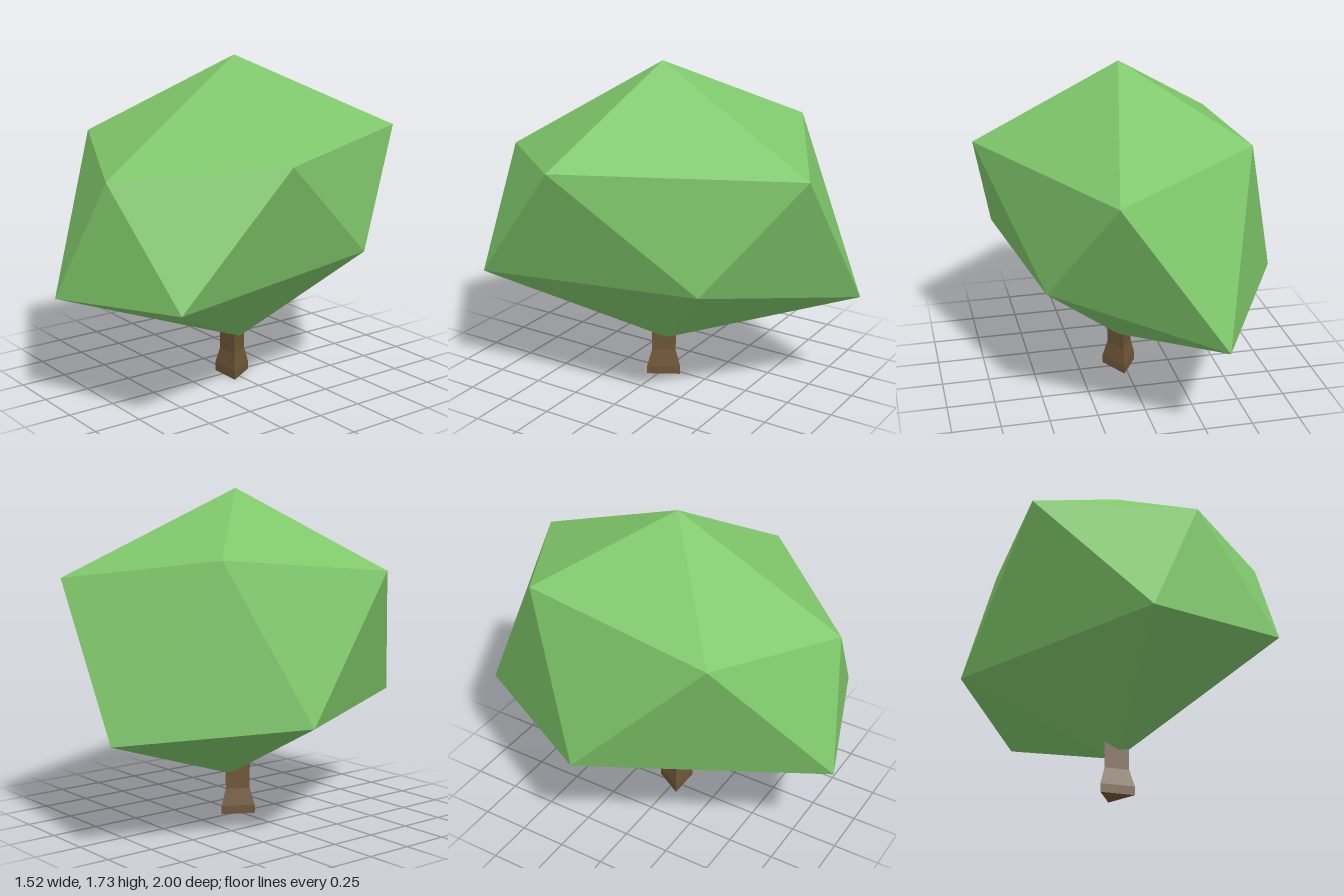
import * as THREE from 'three';

// Irregular twenty-sided crown: top, two staggered rings of five, bottom
function crownGeometry() {
  const top = [0.03, 1.73, 0];
  const bottom = [0.04, 0.21, -0.03];
  // Rings run counterclockwise seen from above; lower[i] sits between upper[i] and upper[i + 1]
  const upper = [
    [0.17, 1.2, 0.86], [0.76, 1.29, 0.2], [0.23, 1.3, -0.94], [-0.52, 1.41, -0.52], [-0.57, 1.31, 0.52],
  ];
  const lower = [
    [0.62, 0.63, 0.74], [0.5, 0.71, -0.5], [-0.29, 0.55, -1], [-0.76, 0.6, -0.15], [-0.11, 0.58, 1],
  ];
  const positions = [];
  const face = (...corners) => corners.forEach((c) => positions.push(...c));
  for (let i = 0; i < 5; i++) {
    const j = (i + 1) % 5;
    face(top, upper[i], upper[j]);
    face(upper[i], lower[i], upper[j]);
    face(upper[j], lower[i], lower[j]);
    face(bottom, lower[j], lower[i]);
  }
  const geometry = new THREE.BufferGeometry();
  geometry.setAttribute('position', new THREE.Float32BufferAttribute(positions, 3));
  geometry.computeVertexNormals();
  return geometry;
}

// Three-sided trunk with a flared foot, flat side to the front
function trunkGeometry() {
  const profile = [[0, 0], [0.104, 0], [0.104, 0.045], [0.075, 0.135], [0.075, 0.32], [0, 0.32]]
    .map(([r, y]) => new THREE.Vector2(r, y));
  return new THREE.LatheGeometry(profile, 3, Math.PI).translate(0.02, 0, 0);
}

export function createModel() {
  const tree = new THREE.Group();
  tree.name = 'tree';
  const add = (name, geometry, color) => {
    const mesh = new THREE.Mesh(geometry, new THREE.MeshStandardMaterial({ color, flatShading: true }));
    mesh.name = name;
    tree.add(mesh);
  };
  add('crown', crownGeometry(), 0x7fc76a);
  add('trunk', trunkGeometry(), 0x6e5637);
  return tree;
}
